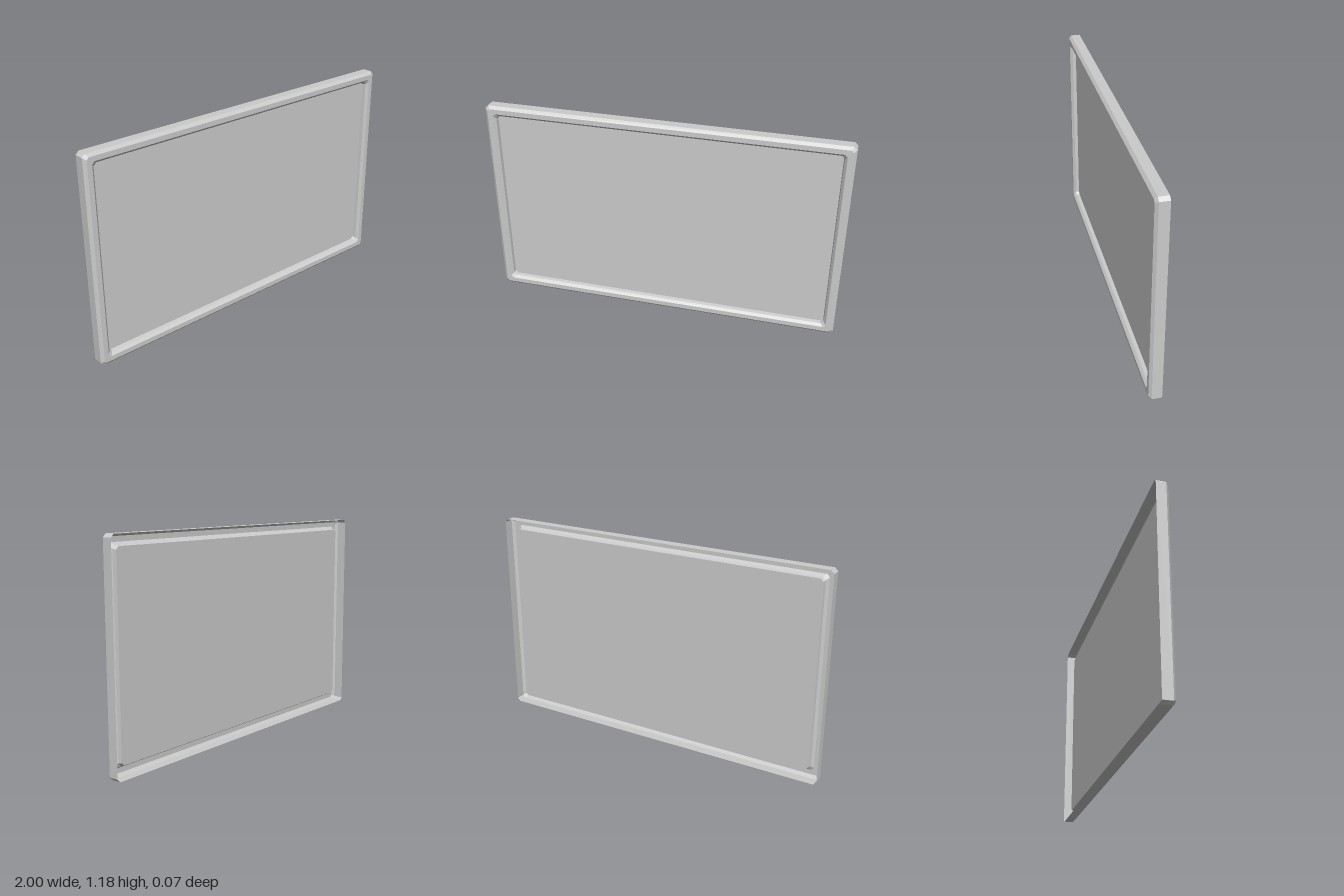
import * as THREE from 'three';

const W = 1, H = 0.591;

// Rectangle outline with clipped corners, counter-clockwise from the front
function outline(inset, clip) {
  const w = W - inset, h = H - inset;
  return [
    [w, -h + clip], [w, h - clip], [w - clip, h], [-w + clip, h],
    [-w, h - clip], [-w, -h + clip], [-w + clip, -h], [w - clip, -h],
  ];
}

// Frame cross-section, from the open back over the front lip down to the panel: inset, clip, z
const profile = [
  [0, 0.017, -0.034],
  [0, 0.017, 0.02],
  [0.016, 0.012, 0.034],
  [0.043, 0.015, 0.034],
  [0.057, 0.015, 0.02],
  [0.061, 0.015, 0],
];

function frameGeometry() {
  const pos = [], index = [], n = 8;
  for (const [inset, clip, z] of profile)
    for (const [x, y] of outline(inset, clip)) pos.push(x, y, z);
  for (let r = 0; r < profile.length - 1; r++)
    for (let i = 0; i < n; i++) {
      const a = r * n + i, b = r * n + (i + 1) % n;
      index.push(a, b, b + n, a, b + n, a + n);
    }
  const indexed = new THREE.BufferGeometry();
  indexed.setAttribute('position', new THREE.Float32BufferAttribute(pos, 3));
  indexed.setIndex(index);
  const geo = indexed.toNonIndexed();
  geo.computeVertexNormals();
  return geo;
}

export function createModel() {
  const group = new THREE.Group();
  group.name = 'framedPanel';
  const material = new THREE.MeshStandardMaterial({
    color: 0xcccccc, flatShading: true, side: THREE.DoubleSide,
  });

  // Hollow bevelled frame, open at the back
  const frame = new THREE.Mesh(frameGeometry(), material);
  frame.name = 'frame';

  // Recessed flat panel closing the inner edge
  const [inset, clip, z] = profile[profile.length - 1];
  const shape = new THREE.Shape(outline(inset, clip).map(([x, y]) => new THREE.Vector2(x, y)));
  const panel = new THREE.Mesh(new THREE.ShapeGeometry(shape), material);
  panel.name = 'panel';
  panel.position.z = z;

  for (const part of [frame, panel]) {
    part.position.y = H;
    group.add(part);
  }
  return group;
}
